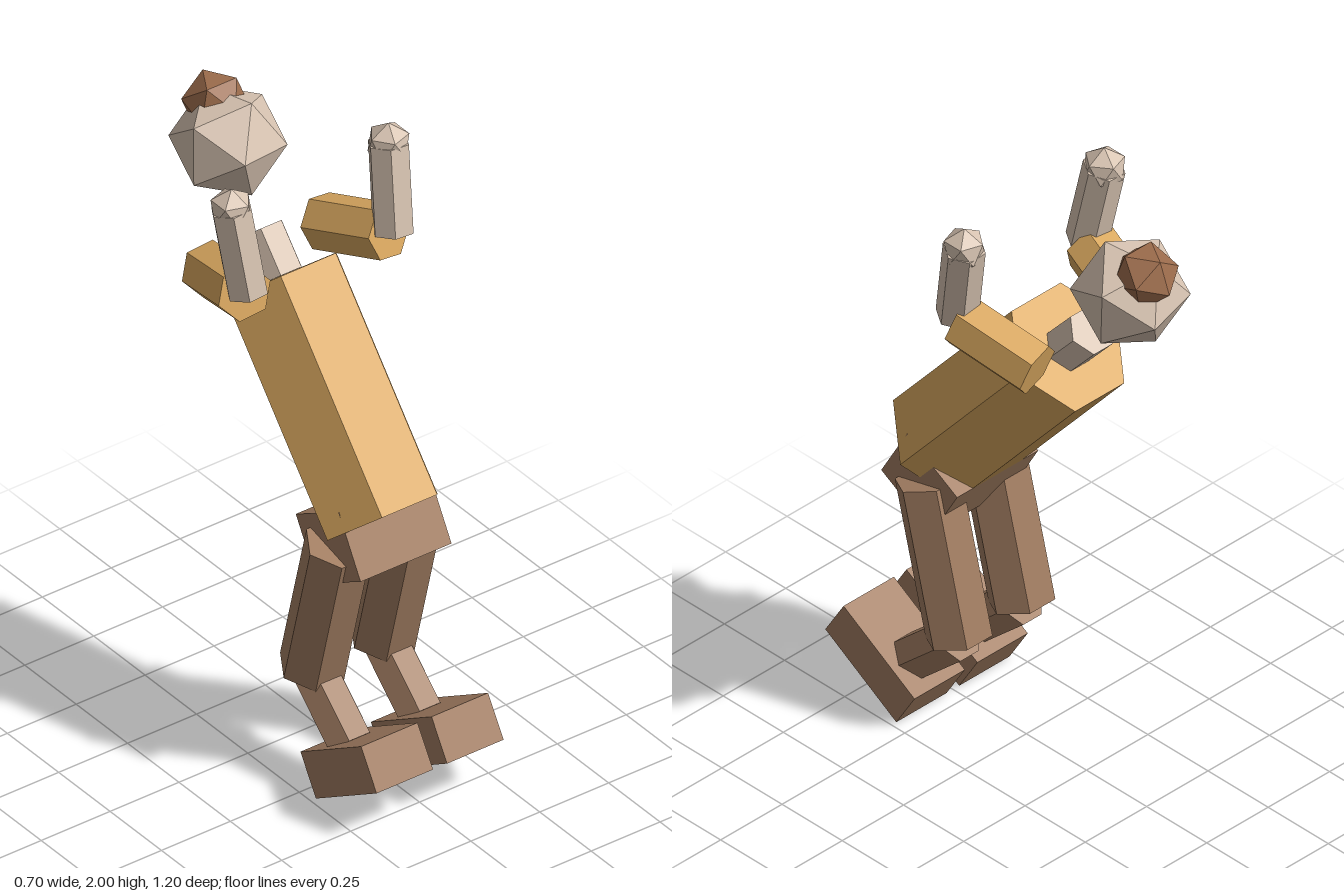
import * as THREE from 'three';

const paint = (name, color) => {
  const m = new THREE.MeshStandardMaterial({ color });
  m.name = name;
  return m;
};

export function createModel() {
  const model = new THREE.Group();
  model.name = 'figure';
  const shirt = paint('ochre shirt', 0xdba960);
  const trousers = paint('brown trousers', 0xa47f63);
  const skin = paint('pale skin', 0xd8c4b2);
  const hair = paint('brown hair', 0x9c6c4c);

  const add = (name, geometry, material, position, rotation = [0, 0, 0]) => {
    const mesh = new THREE.Mesh(geometry, material);
    mesh.name = name;
    mesh.position.set(...position);
    mesh.rotation.set(...rotation);
    model.add(mesh);
    return mesh;
  };

  // Faceted six-sided prism running from point a to point b
  const limb = (name, a, b, radius, material) => {
    const from = new THREE.Vector3(...a);
    const along = new THREE.Vector3(...b).sub(from);
    const geometry = new THREE.CylinderGeometry(radius, radius, along.length(), 6, 1, false, Math.PI / 6).toNonIndexed();
    geometry.computeVertexNormals();
    const mesh = add(name, geometry, material, from.addScaledVector(along, 0.5).toArray());
    mesh.quaternion.setFromUnitVectors(new THREE.Vector3(0, 1, 0), along.normalize());
  };

  const gem = (name, radius, material, position, rotation) =>
    add(name, new THREE.IcosahedronGeometry(radius, 0), material, position, rotation);

  // Body leaning back
  limb('torso', [0, 0.907, 0.32], [0, 1.488, -0.173], 0.2, shirt);
  limb('neck', [0, 1.488, -0.173], [0, 1.6, -0.271], 0.075, skin);
  add('pelvis', new THREE.BoxGeometry(0.33, 0.214, 0.241), trousers, [0, 0.843, 0.277], [-0.52, 0, 0]);

  // Head and hair bun
  gem('head', 0.176, skin, [0, 1.825, -0.432], [-1.23, -0.37, -1.76]);
  gem('hair', 0.102, hair, [0.005, 1.919, -0.5], [0.365, 0, 0]);

  // Mirrored arms and legs
  for (const [side, s] of [['left', 1], ['right', -1]]) {
    const shoulder = [s * 0.205, 1.553, -0.255];
    const elbow = [s * 0.262, 1.63, 0];
    const wrist = [s * 0.285, 1.92, -0.033];
    limb(`${side}UpperArm`, shoulder, elbow, 0.087, shirt);
    limb(`${side}Forearm`, [s * 0.264, 1.643, 0.018], wrist, 0.065, skin);
    gem(`${side}Hand`, 0.068, skin, wrist, [0, 0, s * 0.5536]);

    const hip = [s * 0.128, 0.846, 0.277];
    const knee = [s * 0.128, 0.34, 0.149];
    const ankle = [s * 0.128, 0.17, 0.336];
    limb(`${side}Thigh`, hip, knee, 0.103, trousers);
    limb(`${side}Shin`, knee, ankle, 0.075, trousers);
    add(`${side}Foot`, new THREE.BoxGeometry(0.205, 0.145, 0.346), trousers, [s * 0.128, 0.153, 0.415], [-0.55, 0, 0]);
  }
  return model;
}
